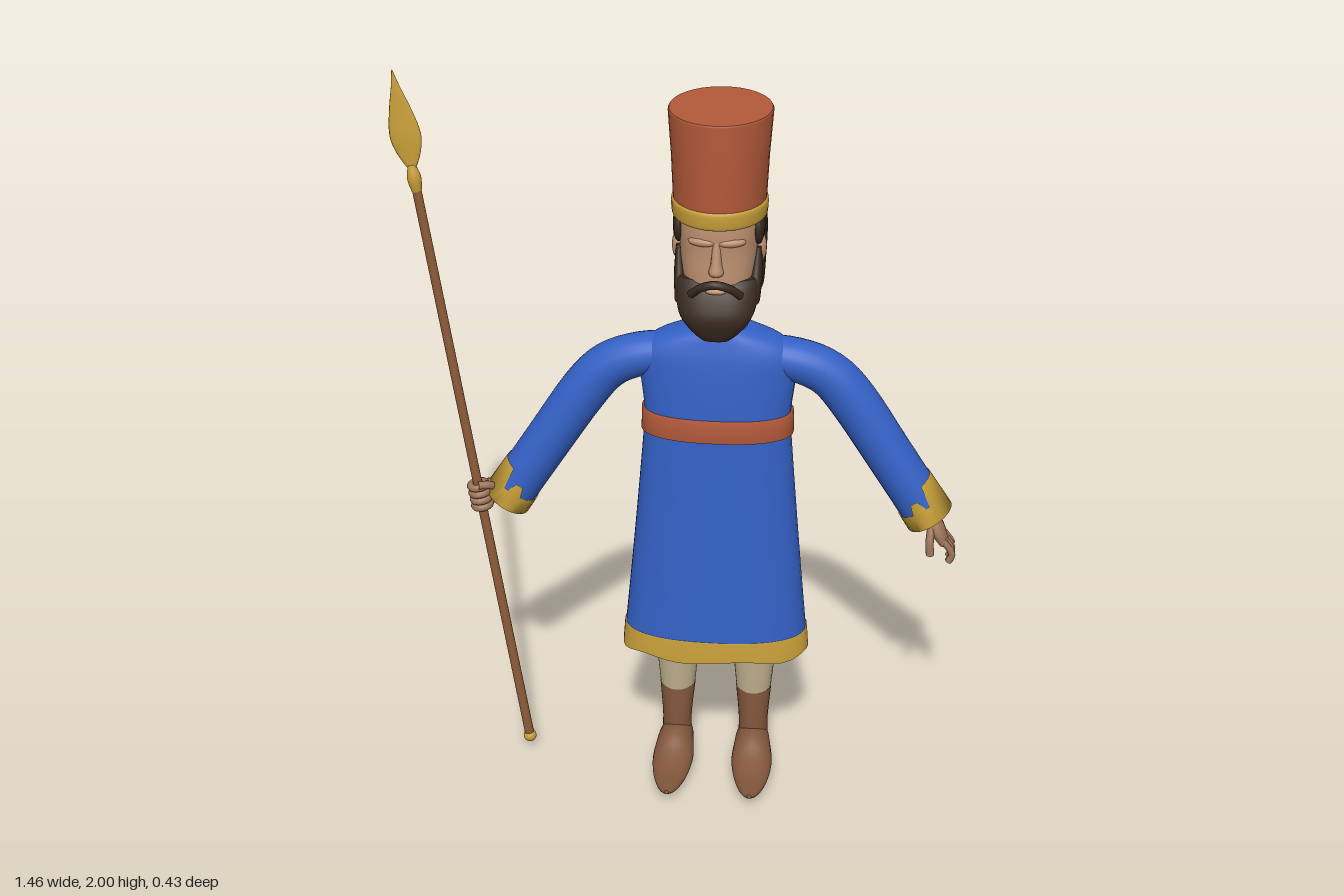
import * as THREE from 'three';

const CX = 0.086; // body axis
const mat = (name, color, side = THREE.FrontSide) => {
  const m = new THREE.MeshStandardMaterial({ color, side });
  m.name = name;
  return m;
};

// Catmull-Rom through rows of numbers
function smooth(rows, n = 4) {
  const out = [];
  for (let i = 0; i < rows.length - 1; i++) {
    const [p, q, r, s] = [-1, 0, 1, 2].map(k => rows[Math.min(rows.length - 1, Math.max(0, i + k))]);
    for (let k = 0; k < n; k++) {
      const t = k / n;
      out.push(q.map((v, c) => v + 0.5 * t * (r[c] - p[c] + t * (2 * p[c] - 5 * v + 4 * r[c] - s[c]
        + t * (3 * (v - r[c]) + s[c] - p[c])))));
    }
  }
  out.push(rows[rows.length - 1]);
  return out;
}

// Elliptical sections [x, y, z, a, b] joined along a path.
// ref 'y': level rings; 'z': path in the xy plane; 'x': path in the yz plane.
function sweep(rows, { ref = 'y', seg = 24, caps = true, pow = 1, warp } = {}) {
  const pos = [], idx = [], X = new THREE.Vector3(1, 0, 0), Z = new THREE.Vector3(0, 0, 1);
  const centre = r => new THREE.Vector3(r[0], r[1], r[2]);
  const bend = v => Math.sign(v) * Math.abs(v) ** pow;
  rows.forEach((r, i) => {
    const t = centre(rows[Math.min(i + 1, rows.length - 1)]).sub(centre(rows[Math.max(i - 1, 0)])).normalize();
    const u = ref === 'z' ? t.clone().cross(Z).normalize() : X;
    const v = ref === 'x' ? X.clone().cross(t).normalize() : Z;
    for (let j = 0; j < seg; j++) {
      const th = j / seg * Math.PI * 2;
      const p = centre(r).addScaledVector(u, r[3] * bend(Math.cos(th))).addScaledVector(v, r[4] * bend(Math.sin(th)));
      if (warp) warp(p, i, th, t);
      pos.push(p.x, p.y, p.z);
    }
  });
  for (let i = 0; i < rows.length - 1; i++) for (let j = 0; j < seg; j++) {
    const a = i * seg + j, b = i * seg + (j + 1) % seg;
    idx.push(a, a + seg, b, b, a + seg, b + seg);
  }
  if (caps) for (const i of [0, rows.length - 1]) {
    const base = pos.length / 3;
    for (let j = 0; j < seg * 3; j++) pos.push(pos[i * seg * 3 + j]);
    pos.push(rows[i][0], rows[i][1], rows[i][2]);
    for (let j = 0; j < seg; j++) {
      const a = base + j, b = base + (j + 1) % seg;
      idx.push(base + seg, ...(i === 0 ? [a, b] : [b, a]));
    }
  }
  const g = new THREE.BufferGeometry();
  g.setAttribute('position', new THREE.Float32BufferAttribute(pos, 3));
  g.setIndex(idx);
  g.computeVertexNormals();
  return g;
}
// Level sections [y, z, a, b] about the body axis
const level = rows => rows.map(([y, z, a, b]) => [CX, y, z, a, b]);

export function createModel() {
  const model = new THREE.Group();
  const blue = mat('blue cloth', 0x3461c6, THREE.DoubleSide), gold = mat('gold', 0xc9a03a, THREE.DoubleSide);
  const rust = mat('rust red', 0xb45a3a), hairM = mat('dark hair', 0x3a2b20), skin = mat('skin', 0xbd9070);
  const boot = mat('boot leather', 0x80553b), wood = mat('wood', 0x8f5c38), cream = mat('cream cloth', 0xbfb08e);
  const handM = mat('hand skin', 0xa0765a);
  const add = (name, geo, m, parent = model) => {
    const mesh = new THREE.Mesh(geo, m);
    mesh.name = name;
    parent.add(mesh);
    return mesh;
  };
  const tube = (pts, r, n = 10) => new THREE.TubeGeometry(
    new THREE.CatmullRomCurve3(pts.map(p => new THREE.Vector3(...p))), n, r, 8);
  const ball = (name, m, [x, y, z], [a, b, c], parent) => {
    const s = add(name, new THREE.SphereGeometry(1, 16, 12), m, parent);
    s.position.set(x, y, z);
    s.scale.set(a, b, c);
    return s;
  };

  // Robe, hem and belt
  add('robe', sweep(smooth(level([
    [0.435, -0.04, 0.247, 0.116], [0.7, -0.04, 0.222, 0.104], [1.03, -0.04, 0.194, 0.09], [1.1, -0.04, 0.192, 0.088],
    [1.2, -0.045, 0.203, 0.085], [1.26, -0.047, 0.204, 0.079], [1.3, -0.05, 0.165, 0.072],
    [1.322, -0.05, 0.11, 0.066], [1.335, -0.05, 0.075, 0.061]])), { seg: 40, caps: false, pow: 0.85 }), blue);
  add('robeHem', sweep(level([[0.372, -0.04, 0.255, 0.12], [0.435, -0.04, 0.25, 0.119], [0.437, -0.04, 0.245, 0.115]]),
    { seg: 40, caps: false, pow: 0.85, warp: (p, i, th) => { if (!i) p.y += 0.006 * Math.sin(th * 6); } }), gold);
  add('belt', sweep(level([[1.034, -0.04, 0.19, 0.086], [1.037, -0.04, 0.2, 0.096], [1.097, -0.04, 0.199, 0.095],
    [1.1, -0.04, 0.188, 0.086]]), { seg: 40, pow: 0.85 }), rust);

  for (const s of [1, -1]) {
    const side = s > 0 ? 'left' : 'right';
    const X = d => CX + s * d;
    // Sleeves with stepped gold cuffs
    add(side + 'Sleeve', sweep(smooth([[X(0.1), 1.255, -0.05, 0.05, 0.055], [X(0.2), 1.238, -0.052, 0.057, 0.06],
      [X(0.285), 1.2, -0.055, 0.061, 0.06], [X(0.352), 1.125, -0.055, 0.064, 0.062],
      [X(0.45), 0.975, -0.052, 0.063, 0.064], [X(0.564), 0.797, -0.05, 0.063, 0.066]]),
    { ref: 'z', caps: false }), blue);
    add(side + 'Cuff', sweep([[X(0.532), 0.847, -0.05, 0.0655, 0.0685], [X(0.566), 0.794, -0.05, 0.067, 0.07],
      [X(0.564), 0.797, -0.05, 0.058, 0.061]], { ref: 'z', seg: 40, caps: false,
      warp: (p, i, th, t) => {
        if (i) return;
        const outer = -s * Math.cos(th);
        p.addScaledVector(t, outer > 0.55 ? -0.05 : Math.abs(outer) < 0.2 ? -0.02 : 0.012);
      } }), gold);
    // Legs and pointed boots
    add(side + 'Leg', sweep([[X(0.106), 0.2, -0.053, 0.046, 0.04], [X(0.106), 0.37, -0.055, 0.062, 0.054],
      [X(0.106), 0.6, -0.05, 0.07, 0.06]], { seg: 20 }), cream);
    add(side + 'BootShaft', sweep(smooth([[X(0.107), 0.04, -0.045, 0.045, 0.045], [X(0.107), 0.11, -0.045, 0.04, 0.042],
      [X(0.106), 0.222, -0.053, 0.049, 0.041]]), { seg: 20 }), boot);
    add(side + 'BootFoot', sweep(smooth([[X(0.106), 0.05, -0.082, 0.02, 0.03], [X(0.106), 0.052, -0.055, 0.042, 0.051],
      [X(0.108), 0.054, 0, 0.051, 0.052], [X(0.11), 0.037, 0.06, 0.056, 0.035], [X(0.112), 0.026, 0.13, 0.045, 0.02],
      [X(0.113), 0.029, 0.19, 0.025, 0.013], [X(0.113), 0.036, 0.217, 0.006, 0.005]]), { ref: 'x', seg: 20 }), boot);
    // Ears, temples and sideburns
    ball(side + 'Ear', skin, [X(0.106), 1.55, -0.052], [0.014, 0.037, 0.022]);
    ball(side + 'Temple', hairM, [X(0.1), 1.615, -0.035], [0.016, 0.048, 0.042]);
    add(side + 'Sideburn', sweep(smooth([[X(0.088), 1.43, 0.01, 0.02, 0.04], [X(0.096), 1.49, -0.02, 0.016, 0.034],
      [X(0.1), 1.56, -0.038, 0.008, 0.016]]), { seg: 12 }), hairM);
    // Brow ridges
    const brow = ball(side + 'Brow', skin, [X(0.038), 1.597, 0.04], [0.036, 0.012, 0.014]);
    brow.rotation.y = s * 0.25;
  }

  // Head
  add('neck', sweep(level([[1.3, -0.05, 0.058, 0.052], [1.36, -0.05, 0.05, 0.048], [1.48, -0.05, 0.055, 0.055]])), skin);
  add('face', sweep(smooth(level([[1.39, -0.01, 0.045, 0.05], [1.43, -0.02, 0.075, 0.07], [1.48, -0.03, 0.09, 0.085],
    [1.56, -0.045, 0.099, 0.097], [1.61, -0.048, 0.103, 0.102], [1.66, -0.055, 0.105, 0.105]])), { pow: 0.9 }), skin);
  add('nose', sweep(smooth(level([[1.508, 0.05, 0.008, 0.008], [1.52, 0.056, 0.019, 0.019], [1.545, 0.052, 0.014, 0.018],
    [1.6, 0.043, 0.01, 0.012]])), { seg: 12 }), skin);
  add('hair', sweep(smooth(level([[1.375, -0.148, 0.085, 0.026], [1.4, -0.14, 0.104, 0.04], [1.43, -0.132, 0.111, 0.05],
    [1.5, -0.127, 0.115, 0.057], [1.57, -0.122, 0.118, 0.064], [1.61, -0.107, 0.117, 0.08],
    [1.66, -0.09, 0.115, 0.098]])), { seg: 32, pow: 0.65 }), hairM);
  add('beard', sweep(smooth(level([[1.336, 0.05, 0.035, 0.018], [1.36, 0.05, 0.062, 0.03], [1.4, 0.04, 0.092, 0.05],
    [1.44, 0.02, 0.103, 0.058], [1.475, 0.003, 0.104, 0.057], [1.492, -0.006, 0.1, 0.05]])),
  { seg: 28, pow: 0.85 }), hairM);
  add('moustache', tube([[CX - 0.062, 1.462, 0.058], [CX - 0.035, 1.49, 0.08], [CX, 1.502, 0.088],
    [CX + 0.035, 1.49, 0.08], [CX + 0.062, 1.462, 0.058]], 0.011, 16), hairM);
  add('lip', new THREE.SphereGeometry(1, 12, 8), skin).scale.set(0.026, 0.008, 0.008);
  model.children.at(-1).position.set(CX, 1.474, 0.066);

  // Tall hat
  add('hat', sweep(level([[1.67, -0.058, 0.117, 0.129], [1.8, -0.063, 0.123, 0.138], [1.908, -0.069, 0.131, 0.146],
    [1.913, -0.069, 0.128, 0.143]]), { seg: 40 }), rust);
  add('hatBand', sweep(smooth(level([[1.638, -0.058, 0.114, 0.126], [1.645, -0.058, 0.12, 0.132],
    [1.678, -0.058, 0.122, 0.134], [1.687, -0.058, 0.116, 0.128]])), { seg: 40 }), gold);

  // Open left hand
  add('leftPalm', sweep(smooth([[0.63, 0.83, -0.05, 0.026, 0.028], [0.655, 0.79, -0.047, 0.025, 0.033],
    [0.675, 0.757, -0.045, 0.021, 0.042], [0.692, 0.725, -0.045, 0.014, 0.04]]), { ref: 'z', seg: 16 }), handM);
  for (let i = 0; i < 4; i++) {
    const z = -0.013 - i * 0.021, drop = [0.01, 0, 0.004, 0.02][i];
    add('leftFinger', tube([[0.688, 0.74, z], [0.711, 0.71, z], [0.716, 0.685 + drop, z], [0.708, 0.665 + drop, z]], 0.0095), handM);
  }
  add('leftThumb', tube([[0.658, 0.775, -0.02], [0.655, 0.735, -0.003], [0.658, 0.7, 0]], 0.011), handM);

  // Spear leaning outward, local y along the shaft
  const spear = new THREE.Group();
  spear.name = 'spear';
  spear.position.set(-0.438, 0.037, -0.013);
  spear.rotation.z = 0.141;
  model.add(spear);
  const up = rows => rows.map(([y, a, b]) => [0, y, 0, a, b]);
  add('spearShaft', sweep(up([[0, 0.013, 0.013], [1.69, 0.012, 0.012]]), { seg: 14 }), wood, spear);
  ball('spearButt', gold, [0, 0, 0], [0.018, 0.018, 0.018], spear);
  add('spearCollar', sweep(smooth(up([[1.665, 0.013, 0.013], [1.7, 0.018, 0.018], [1.735, 0.009, 0.009]])),
    { seg: 14 }), gold, spear);
  add('spearBlade', sweep(smooth(up([[1.72, 0.008, 0.006], [1.765, 0.03, 0.007], [1.815, 0.04, 0.008],
    [1.88, 0.028, 0.006], [1.94, 0.011, 0.004], [1.983, 0.001, 0.001]])), { seg: 16 }), gold, spear);

  // Right hand closed on the shaft
  add('rightPalm', sweep(smooth([[-0.455, 0.835, -0.05, 0.026, 0.028], [-0.49, 0.81, -0.048, 0.026, 0.028],
    [-0.525, 0.813, -0.043, 0.038, 0.02], [-0.552, 0.815, -0.04, 0.034, 0.014]]), { ref: 'z', seg: 16 }), handM);
  for (let i = 0; i < 4; i++) {
    const f = add('rightFinger', new THREE.TorusGeometry(0.021, 0.0105, 8, 18), handM, spear);
    f.rotation.x = Math.PI / 2;
    f.position.set(0, 0.755 + i * 0.02, -0.004);
  }
  add('rightThumb', tube([[-0.5, 0.825, -0.03], [-0.52, 0.85, -0.008], [-0.55, 0.855, 0.008]], 0.011), handM);

  return model;
}
